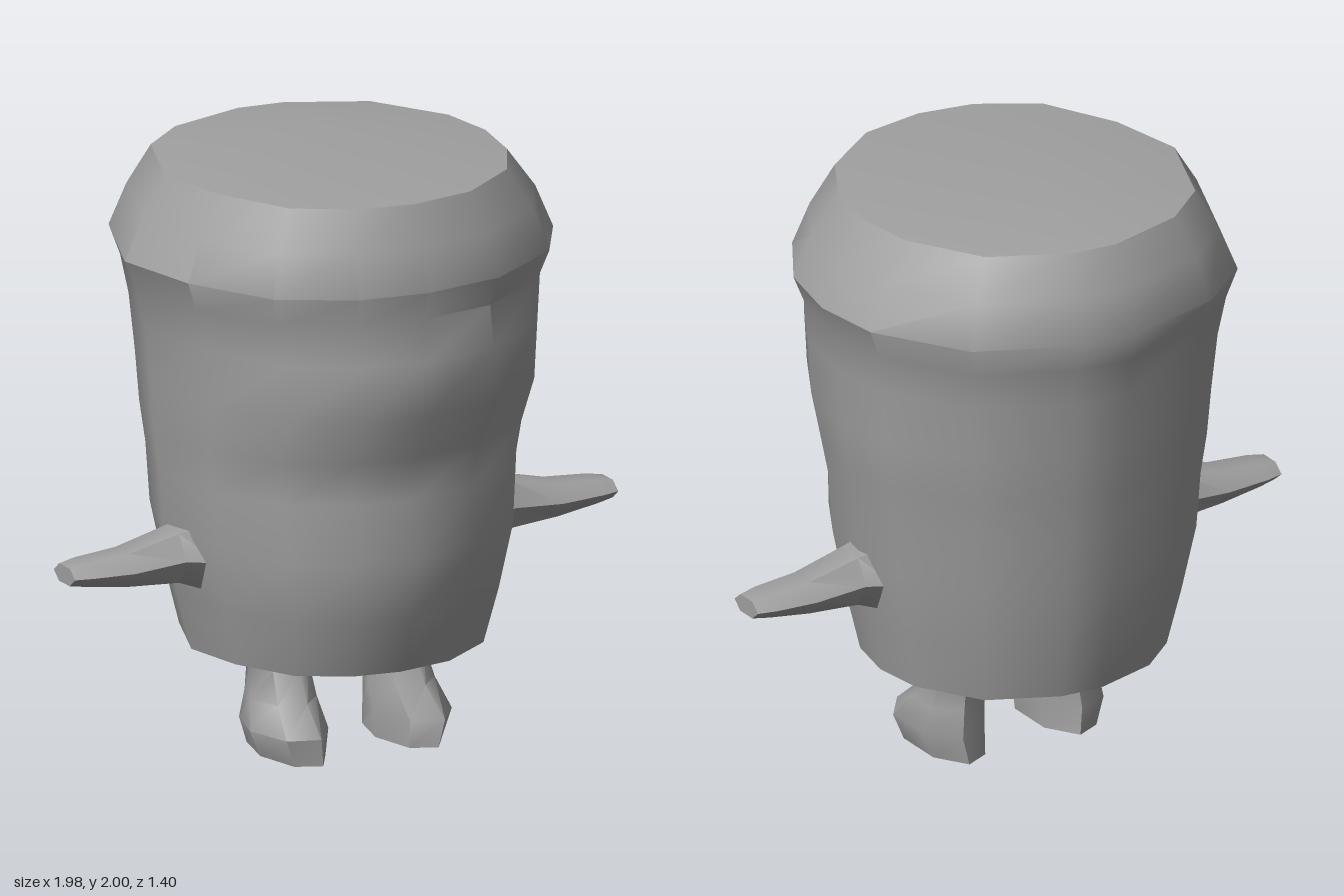
import * as THREE from 'three';
import { toCreasedNormals } from 'three/addons/utils/BufferGeometryUtils.js';

// Skin a stack of rings (each a list of [x, y, z], clockwise seen from above) and cap both ends.
function loft(rings, bottomCentre, topCentre, crease) {
  const n = rings[0].length, pos = rings.flat(2), index = [];
  for (let r = 0; r < rings.length - 1; r++) {
    for (let i = 0; i < n; i++) {
      const a = r * n + i, b = r * n + (i + 1) % n;
      index.push(a, a + n, b, b, a + n, b + n);
    }
  }
  const low = rings.length * n, high = low + 1, last = (rings.length - 1) * n;
  pos.push(...bottomCentre, ...topCentre);
  for (let i = 0; i < n; i++) {
    const j = (i + 1) % n;
    index.push(low, i, j, high, last + j, last + i);
  }
  const g = new THREE.BufferGeometry();
  g.setAttribute('position', new THREE.Float32BufferAttribute(pos, 3));
  g.setIndex(index);
  return toCreasedNormals(g, crease);
}

// Elliptical ring with few sides
function oval(y, cx, cz, rx, rz, sides) {
  return Array.from({ length: sides }, (_, i) => {
    const a = ((i + 0.5) / sides) * Math.PI * 2;
    return [cx + rx * Math.cos(a), y, cz + rz * Math.sin(a)];
  });
}

export function createModel() {
  const model = new THREE.Group();
  const grey = new THREE.MeshStandardMaterial({ color: 0xa0a0a0 });
  grey.name = 'grey';
  const add = (name, geometry) => {
    const mesh = new THREE.Mesh(geometry, grey);
    mesh.name = name;
    model.add(mesh);
  };

  // Body: slightly irregular round plan, from the back round by the left side
  const plan = [
    [-0.03, -0.71], [0.17, -0.69], [0.49, -0.54], [0.68, -0.24], [0.71, 0],
    [0.66, 0.25], [0.52, 0.48], [0.24, 0.66], [-0.04, 0.7], [-0.27, 0.66],
    [-0.5, 0.52], [-0.65, 0.23], [-0.71, -0.08], [-0.56, -0.46], [-0.36, -0.62],
  ];
  // y, reach to -x, +x, +z, -z
  const levels = [
    [0.36, 0.49, 0.49, 0.49, 0.5],
    [0.55, 0.54, 0.53, 0.56, 0.54],
    [0.77, 0.59, 0.57, 0.62, 0.58],
    [0.96, 0.6, 0.59, 0.59, 0.6],
    [1.1, 0.62, 0.62, 0.6, 0.62],
    [1.26, 0.63, 0.64, 0.69, 0.64],
    [1.45, 0.65, 0.65, 0.7, 0.66],
    [1.58, 0.68, 0.67, 0.66, 0.68],
    [1.68, 0.72, 0.71, 0.7, 0.71],
    [1.82, 0.66, 0.65, 0.65, 0.66],
    [1.95, 0.58, 0.55, 0.6, 0.59],
  ];
  const body = levels.map(([y, xl, xr, zf, zb]) => plan.map(([x, z]) =>
    [x * (x < 0 ? xl : xr) / 0.71, y, z * (z < 0 ? zb : zf) / 0.71]));
  add('body', loft(body, [0, 0.36, 0], [-0.03, 2, -0.2], 0.75));

  for (const side of [1, -1]) {
    const label = side > 0 ? 'left' : 'right';

    // Arm: built upright, then laid out sideways. reach, mid height, half height, half depth
    const arm = [
      [0.5, 0.7, 0.12, 0.13],
      [0.6, 0.71, 0.09, 0.1],
      [0.78, 0.695, 0.06, 0.09],
      [0.93, 0.7, 0.042, 0.085],
      [0.99, 0.7, 0.032, 0.07],
    ].map(([d, y, ry, rz]) => oval(d, -side * y, 0.01, ry * 1.05, rz, 6));
    const armGeometry = loft(arm, [-side * 0.7, 0.5, 0], [-side * 0.7, 0.99, 0], 1);
    armGeometry.rotateZ(-side * Math.PI / 2);
    add(label + 'Arm', armGeometry);

    // Leg with a toe pushed forward and a web into the body. y, x, z, half width, half depth
    const leg = [
      [0.01, 0.21, 0.07, 0.1, 0.2],
      [0.1, 0.225, 0.075, 0.125, 0.2],
      [0.19, 0.215, 0.03, 0.11, 0.14],
      [0.29, 0.21, 0, 0.1, 0.11],
      [0.365, 0.19, 0, 0.18, 0.19],
    ].map(([y, x, z, rx, rz]) => oval(y, side * x, z, rx, rz, 7));
    add(label + 'Leg', loft(leg, [side * 0.21, 0, 0.07], [side * 0.19, 0.365, 0], 0.9));
  }
  return model;
}
